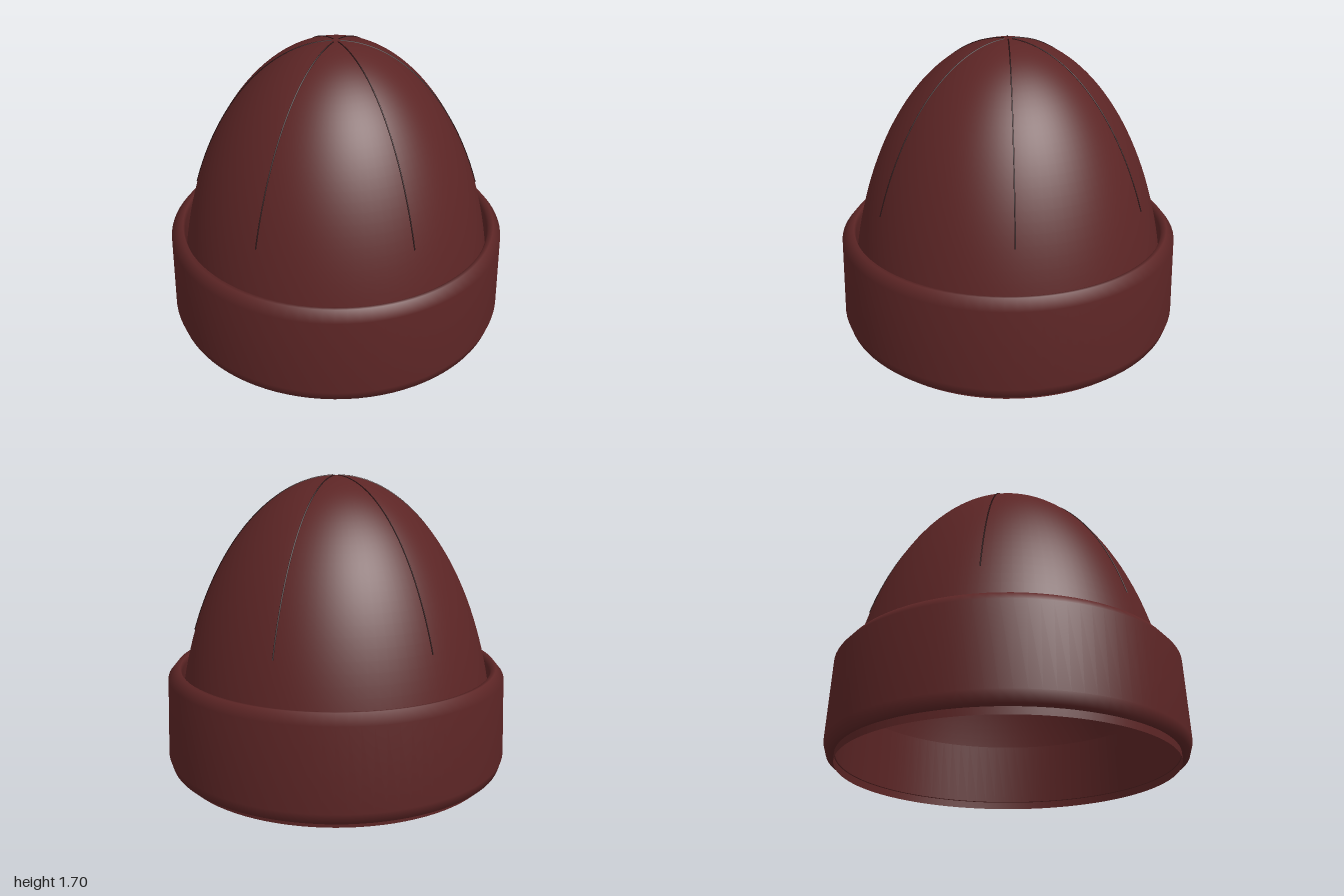
import * as THREE from 'three';

const RADIUS = 0.94, HEIGHT = 1.7;

export function createModel() {
  const group = new THREE.Group();
  const wool = new THREE.MeshStandardMaterial({ color: 0x5c2525, side: THREE.DoubleSide });
  wool.name = 'maroon wool';
  const thread = new THREE.MeshStandardMaterial({ color: 0x261011 });
  thread.name = 'dark thread';

  const add = (name, geometry, material) => {
    const mesh = new THREE.Mesh(geometry, material);
    mesh.name = name;
    group.add(mesh);
    return mesh;
  };

  // Crown: open half ellipsoid, hollow underneath
  const crown = [];
  for (let i = 0; i <= 40; i++) {
    const t = (i / 40) * Math.PI / 2;
    crown.push(new THREE.Vector2(i === 40 ? 0 : RADIUS * Math.cos(t), HEIGHT * Math.sin(t)));
  }
  add('crown', new THREE.LatheGeometry(crown, 96), wool);

  // Folded cuff: closed ring profile standing slightly off the crown
  const cuff = [
    [0.935, 0.045], [0.95, 0.035], [0.982, 0.04], [1.0, 0.1], [0.985, 0.555],
    [0.94, 0.61], [0.915, 0.605], [0.905, 0.58], [0.91, 0.45], [0.935, 0.045],
  ].map(([r, y]) => new THREE.Vector2(r, y));
  add('cuff', new THREE.LatheGeometry(cuff, 96), wool);

  // Six seams running down from the tip
  for (let k = 0; k < 6; k++) {
    const a = Math.PI / 6 + (k * Math.PI) / 3;
    const points = [];
    for (let i = 0; i <= 16; i++) {
      const t = THREE.MathUtils.lerp(0.505, Math.PI / 2 - 0.025, i / 16);
      const r = RADIUS * Math.cos(t) + 0.001;
      points.push(new THREE.Vector3(r * Math.cos(a), HEIGHT * Math.sin(t), r * Math.sin(a)));
    }
    const path = new THREE.CatmullRomCurve3(points);
    add('seam' + (k + 1), new THREE.TubeGeometry(path, 48, 0.004, 6), thread);
  }
  return group;
}
